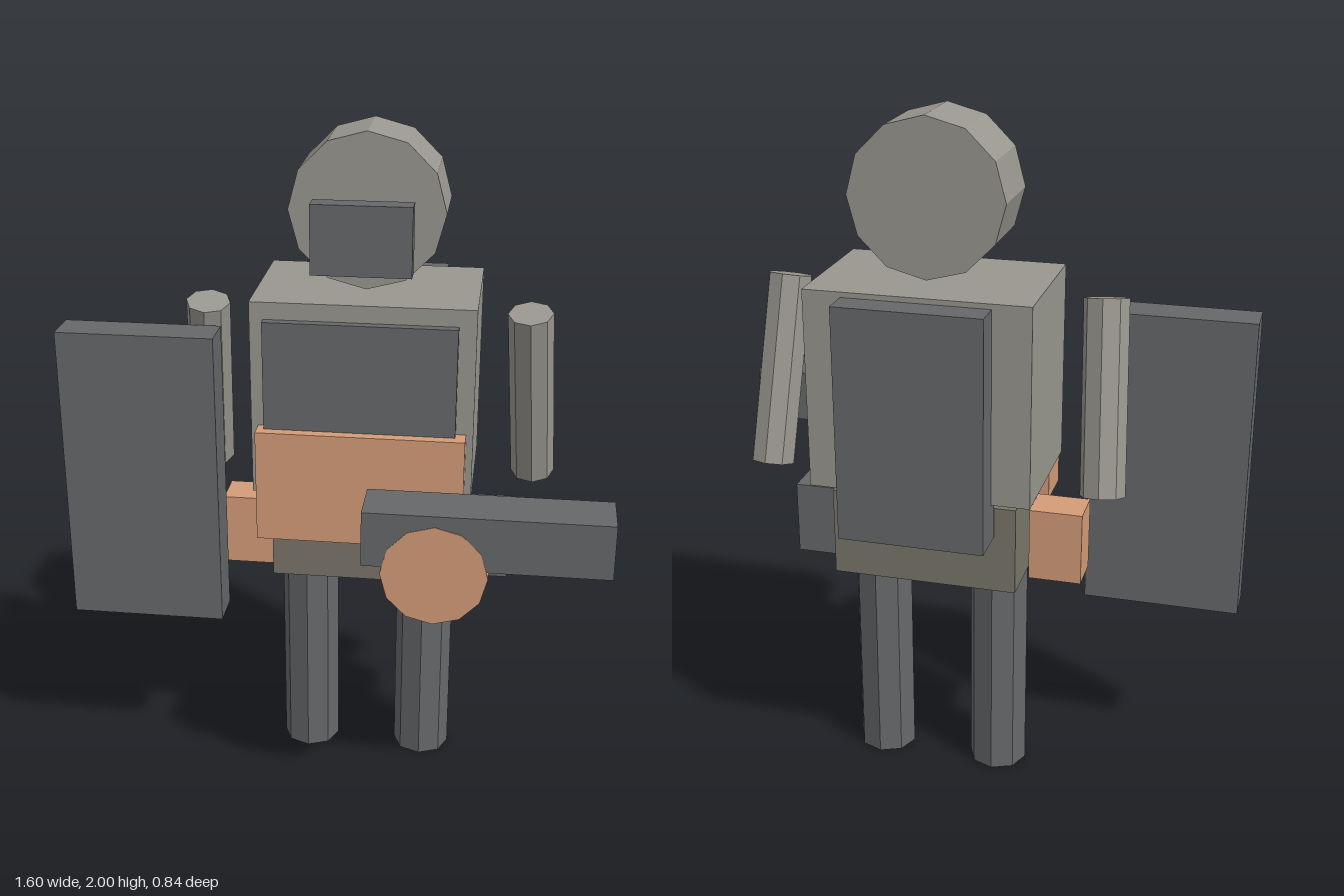
import * as THREE from 'three';

const mat = (color) => new THREE.MeshStandardMaterial({ color, flatShading: true });

export function createModel() {
  const group = new THREE.Group();
  const armour = mat(0x99978f);
  const cloth = mat(0x7a766a);
  const dark = mat(0x66686a);
  const copper = mat(0xd49c78);
  const glow = mat(0xe6d27a);
  const MID = 0.08; // the body's own centre line

  const add = (name, geometry, material) => {
    const mesh = new THREE.Mesh(geometry, material);
    mesh.name = name;
    group.add(mesh);
    return mesh;
  };
  // Box given by its extents along each axis
  const box = (name, material, [x0, x1], [y0, y1], [z0, z1]) => {
    const mesh = add(name, new THREE.BoxGeometry(x1 - x0, y1 - y0, z1 - z0), material);
    mesh.position.set((x0 + x1) / 2, (y0 + y1) / 2, (z0 + z1) / 2);
    return mesh;
  };
  // Cylinder between two points
  const rod = (name, material, radius, sides, from, to) => {
    const a = new THREE.Vector3(...from);
    const b = new THREE.Vector3(...to);
    const mesh = add(name, new THREE.CylinderGeometry(radius, radius, a.distanceTo(b), sides), material);
    mesh.position.copy(a).lerp(b, 0.5);
    mesh.quaternion.setFromUnitVectors(new THREE.Vector3(0, 1, 0), b.sub(a).normalize());
    return mesh;
  };

  // Head with visor
  rod('head', armour, 0.222, 12, [MID, 1.78, -0.23], [MID, 1.78, -0.01]);
  box('visor', dark, [-0.065, 0.217], [1.625, 1.823], [0.04, 0.1]);
  box('eyeStrip', glow, [-0.04, 0.195], [1.755, 1.81], [0.033, 0.05]);

  // Body
  box('torso', armour, [-0.24, 0.4], [0.96, 1.54], [-0.335, 0.09]);
  box('chestPlate', dark, [-0.2, 0.35], [1.0, 1.49], [0.04, 0.118]);
  box('bellyPlate', copper, [-0.22, 0.38], [0.835, 1.17], [0.01, 0.15]);
  box('pelvis', cloth, [-0.19, 0.35], [0.67, 0.93], [-0.29, 0.055]);
  box('backpack', dark, [-0.13, 0.29], [0.845, 1.525], [-0.42, -0.3]);

  // Limbs, mirrored about the body's centre line
  for (const [side, s] of [['left', 1], ['right', -1]]) {
    rod(side + 'Leg', dark, 0.087, 8, [MID + s * 0.18, 0, -0.115], [MID + s * 0.18, 0.72, -0.115]);
    rod(side + 'Arm', armour, 0.065, 8, [MID + s * 0.495, 0.955, -0.185], [MID + s * 0.465, 1.493, -0.05]);
    const hand = box(side + 'Hand', s > 0 ? dark : copper, [-0.0775, 0.0775], [0.655, 0.873], [-0.16, -0.04]);
    hand.position.x = MID + s * 0.3575;
  }

  // Shield on the right, drum-fed weapon on the left
  box('shield', dark, [-0.8, -0.34], [0.533, 1.435], [0, 0.117]);
  box('weapon', dark, [0.117, 0.8], [0.905, 1.065], [0.262, 0.418]);
  rod('weaponDrum', copper, 0.148, 12, [0.317, 0.885, 0.34], [0.317, 0.885, 0.42]);

  return group;
}
